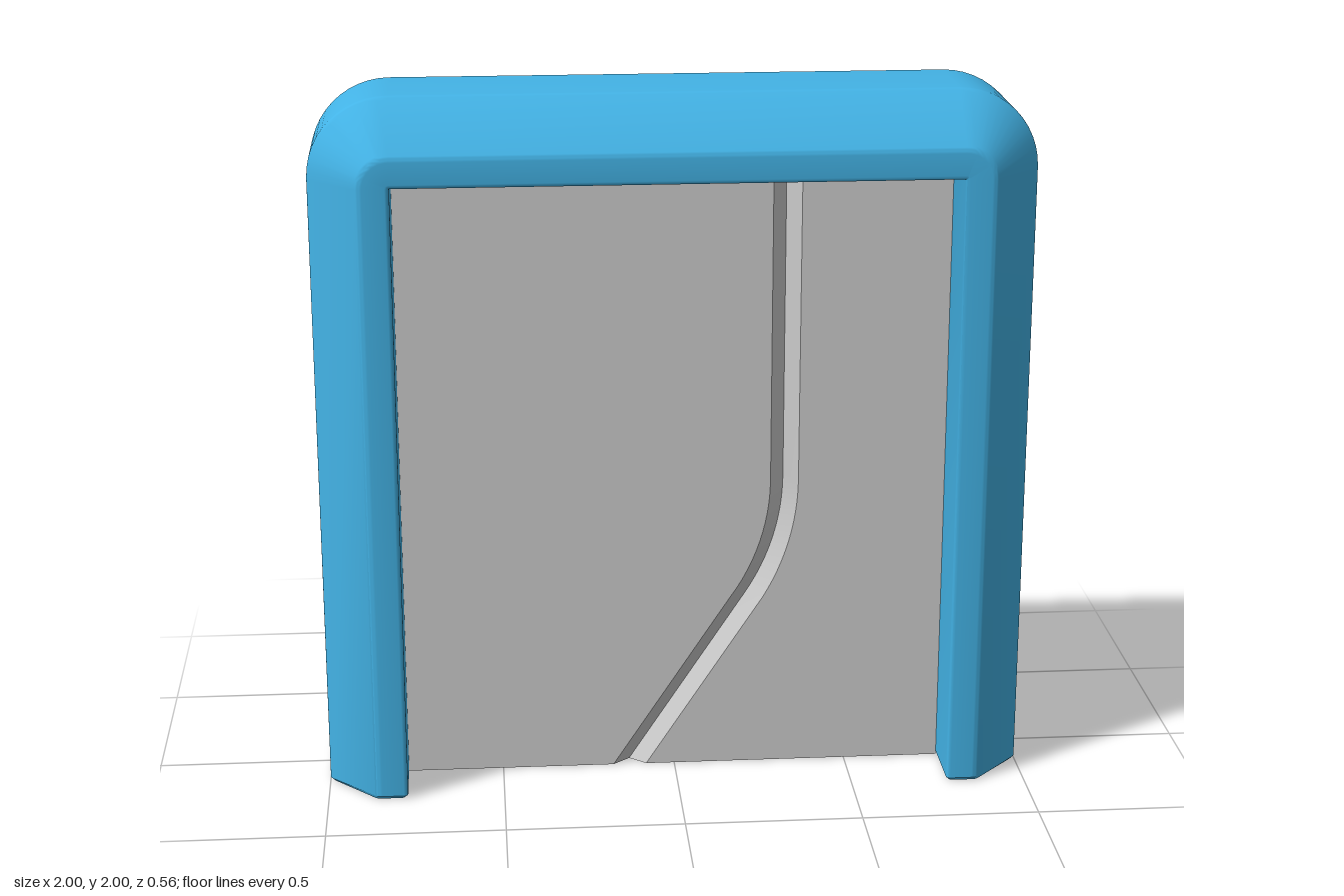
import * as THREE from 'three';
import { toCreasedNormals } from 'three/addons/utils/BufferGeometryUtils.js';

const HALF = 0.775;    // half width of the opening
const TOP = 1.775;     // height of the opening
const SLAB = 0.09;     // half thickness of the doors
const CHAMFER = 0.04;  // bevel along the seam

// Skin a closed loop through rings of points and cap both ends (convex rings).
function loft(rings) {
  const n = rings[0].length, last = (rings.length - 1) * n, index = [];
  for (let i = 0; i < rings.length - 1; i++) {
    for (let j = 0; j < n; j++) {
      const a = i * n + j, b = i * n + (j + 1) % n;
      index.push(a, b, b + n, a, b + n, a + n);
    }
  }
  for (let j = 1; j < n - 1; j++) {
    index.push(0, j + 1, j, last, last + j, last + j + 1);
  }
  const geo = new THREE.BufferGeometry();
  geo.setAttribute('position', new THREE.Float32BufferAttribute(rings.flat(2), 3));
  geo.setIndex(index);
  return toCreasedNormals(geo, 0.5);
}

// Round every corner of a polygon slightly.
function roundCorners(pts, r, steps = 4) {
  const v = pts.map(p => new THREE.Vector2(...p));
  return v.flatMap((p, i) => {
    const prev = v[(i + v.length - 1) % v.length], next = v[(i + 1) % v.length];
    const a = p.clone().add(prev.clone().sub(p).setLength(r));
    const b = p.clone().add(next.clone().sub(p).setLength(r));
    return new THREE.QuadraticBezierCurve(a, p, b).getPoints(steps);
  });
}

// Chamfered section swept up one post, round both corners and down the other.
function frameGeometry() {
  // section as (z, distance outward from the opening)
  const section = roundCorners([
    [-0.28, 0], [0.28, 0], [0.28, 0.085], [0.14, 0.225], [-0.14, 0.225], [-0.28, 0.085],
  ], 0.012);
  const station = (x, y, angle, inset = 1) => section.map(p => {
    const out = 0.11 + (p.y - 0.11) * inset;
    return [x + out * Math.cos(angle), y + out * Math.sin(angle), p.x * (inset < 1 ? 0.97 : 1)];
  });
  const rings = [station(HALF, 0, 0, 0.92), station(HALF, 0.01, 0)];
  const steps = 12;
  for (const side of [0, 1]) {
    for (let i = 0; i <= steps; i++) {
      rings.push(station(side ? -HALF : HALF, TOP, (side + i / steps) * Math.PI / 2));
    }
  }
  rings.push(station(-HALF, 0.01, Math.PI), station(-HALF, 0, Math.PI, 0.92));
  return loft(rings);
}

// Seam from the floor: slanted line, arc, then vertical. Rows of x, y and lean.
function seamRows() {
  const x = 0.315, bend = 0.87, radius = 0.65, lean = 0.583, steps = 12;
  const rows = [];
  for (let i = 0; i <= steps; i++) {
    const a = lean * (1 - i / steps);
    rows.push({ x: x - radius * (1 - Math.cos(a)), y: bend - radius * Math.sin(a), a });
  }
  const foot = rows[0];
  rows.unshift({ x: foot.x - foot.y * Math.tan(lean), y: 0, a: lean });
  rows.push({ x, y: TOP, a: 0 });
  return rows;
}

// One door leaf; side is -1 or 1 for the outer edge it reaches.
function doorGeometry(side) {
  return loft(seamRows().map(({ x, y, a }) => {
    const edge = x + side * CHAMFER / Math.cos(a), z = SLAB - CHAMFER;
    const ring = [
      [side * HALF, y, -SLAB], [side * HALF, y, SLAB], [edge, y, SLAB],
      [x, y, z], [x, y, -z], [edge, y, -SLAB],
    ];
    return side < 0 ? ring : ring.reverse();
  }));
}

export function createModel() {
  const group = new THREE.Group();
  const blue = new THREE.MeshStandardMaterial({ color: 0x43b3e6 });
  const grey = new THREE.MeshStandardMaterial({ color: 0xcccccc });
  const add = (name, geometry, material) => {
    const mesh = new THREE.Mesh(geometry, material);
    mesh.name = name;
    group.add(mesh);
  };
  add('doorFrame', frameGeometry(), blue);
  add('rightDoor', doorGeometry(-1), grey);
  add('leftDoor', doorGeometry(1), grey);
  return group;
}
